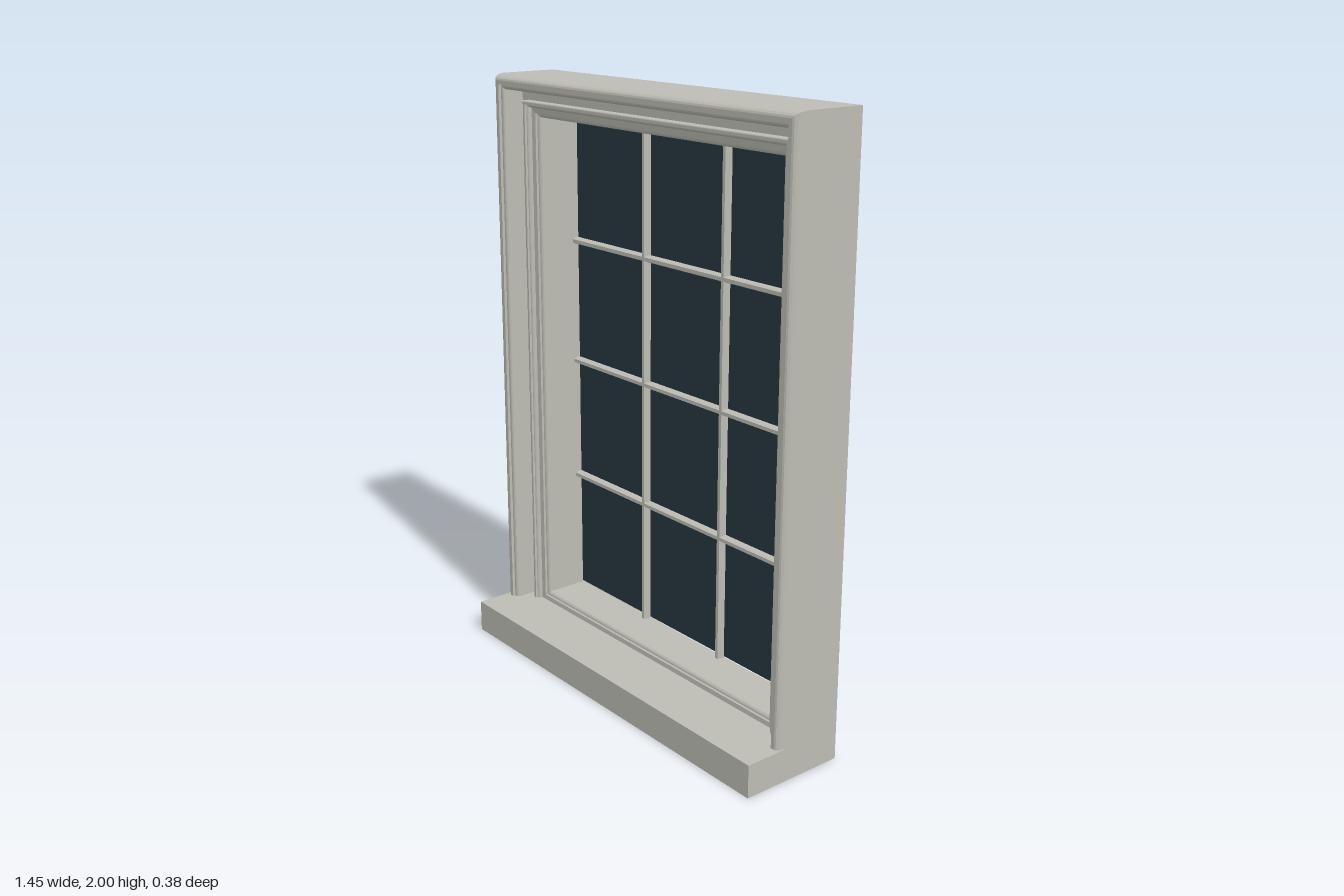
import * as THREE from 'three';

const W = 0.725, H = 2, BACK = -0.175, INSET = 0.14;
const paint = new THREE.MeshStandardMaterial({ color: 0xbdbdb4, flatShading: true });
const glassMat = new THREE.MeshStandardMaterial({ color: 0x263740 });

// Sweep a closed profile of [inset, z] points round the rectangle with mitred corners
function mitredFrame(profile) {
  const pos = [];
  const corner = ([i, z], k) => [
    (k === 1 || k === 2 ? 1 : -1) * (W - i),
    k >= 2 ? H - i : i,
    z,
  ];
  profile.forEach((p, j) => {
    const q = profile[(j + 1) % profile.length];
    for (let k = 0; k < 4; k++) {
      const n = (k + 1) % 4;
      const a = corner(p, k), b = corner(p, n), c = corner(q, n), d = corner(q, k);
      pos.push(...a, ...b, ...c, ...a, ...c, ...d);
    }
  });
  const g = new THREE.BufferGeometry();
  g.setAttribute('position', new THREE.Float32BufferAttribute(pos, 3));
  g.computeVertexNormals();
  return g;
}

// Quarter curve between two profile points; bulge picks convex or hollow
function quarter(a, b, convex, steps = 5) {
  return Array.from({ length: steps + 1 }, (_, s) => {
    const t = (s / steps) * Math.PI / 2;
    const u = convex ? 1 - Math.cos(t) : Math.sin(t);
    const v = convex ? Math.sin(t) : 1 - Math.cos(t);
    return [a[0] + (b[0] - a[0]) * u, a[1] + (b[1] - a[1]) * v];
  });
}

function box(name, x0, x1, y0, y1, z0, z1, mat) {
  const m = new THREE.Mesh(new THREE.BoxGeometry(x1 - x0, y1 - y0, z1 - z0), mat);
  m.position.set((x0 + x1) / 2, (y0 + y1) / 2, (z0 + z1) / 2);
  m.name = name;
  return m;
}

// Glazing bar with chamfered front edges, running along y and centred on it
function glazingBar(name, length) {
  const s = new THREE.Shape([
    [-0.011, 0], [0.011, 0], [0.011, -0.014], [0.006, -0.025], [-0.006, -0.025], [-0.011, -0.014],
  ].map(([x, y]) => new THREE.Vector2(x, y)));
  const g = new THREE.ExtrudeGeometry(s, { depth: length, bevelEnabled: false });
  g.translate(0, 0, -length / 2).rotateX(-Math.PI / 2);
  const m = new THREE.Mesh(g, paint);
  m.name = name;
  return m;
}

export function createModel() {
  const model = new THREE.Group();
  model.name = 'window';

  // Moulded frame: rounded outer band, flat channel, stepped inner moulding, deep reveal
  const profile = [
    [0, BACK],
    ...quarter([0, 0.025], [0.02, 0.07], true),
    [0.033, 0.07], [0.033, 0.06], [0.038, 0.06],
    ...quarter([0.038, 0.06], [0.05, 0.045], false).slice(1),
    [0.05, -0.015], [0.085, -0.015], [0.085, 0.005],
    ...quarter([0.085, 0.005], [0.09, 0.012], true).slice(1),
    [0.098, 0.012], [0.098, 0.004],
    ...quarter([0.098, 0.004], [0.108, -0.01], false).slice(1),
    [0.126, -0.012], [0.126, -0.02],
    ...quarter([0.126, -0.02], [INSET, -0.032], false).slice(1),
    [INSET, BACK],
  ];
  const frame = new THREE.Mesh(mitredFrame(profile), paint);
  frame.name = 'frame';
  model.add(frame);

  // Projecting sill
  model.add(box('sill', -W, W, 0, 0.11, -0.1, 0.19, paint));

  // Glass sheet behind the frame
  model.add(box('glass', -0.585, 0.585, 0.145, 1.86, -0.19, -0.172, glassMat));

  // Glazing bars dividing three columns by four rows
  const openW = 2 * (W - INSET), openH = H - 2 * INSET;
  const bars = new THREE.Group();
  bars.name = 'glazingBars';
  for (const side of [-1, 1]) {
    const bar = glazingBar('verticalBar', openH);
    bar.position.set(side * openW / 6, H / 2, -0.173);
    bars.add(bar);
  }
  for (const row of [-1, 0, 1]) {
    const bar = glazingBar('horizontalBar', openW);
    bar.rotation.z = Math.PI / 2;
    bar.position.set(0, H / 2 + row * openH / 4, -0.173);
    bars.add(bar);
  }
  // Extruded section points towards +z once stood upright
  model.add(bars);
  return model;
}
